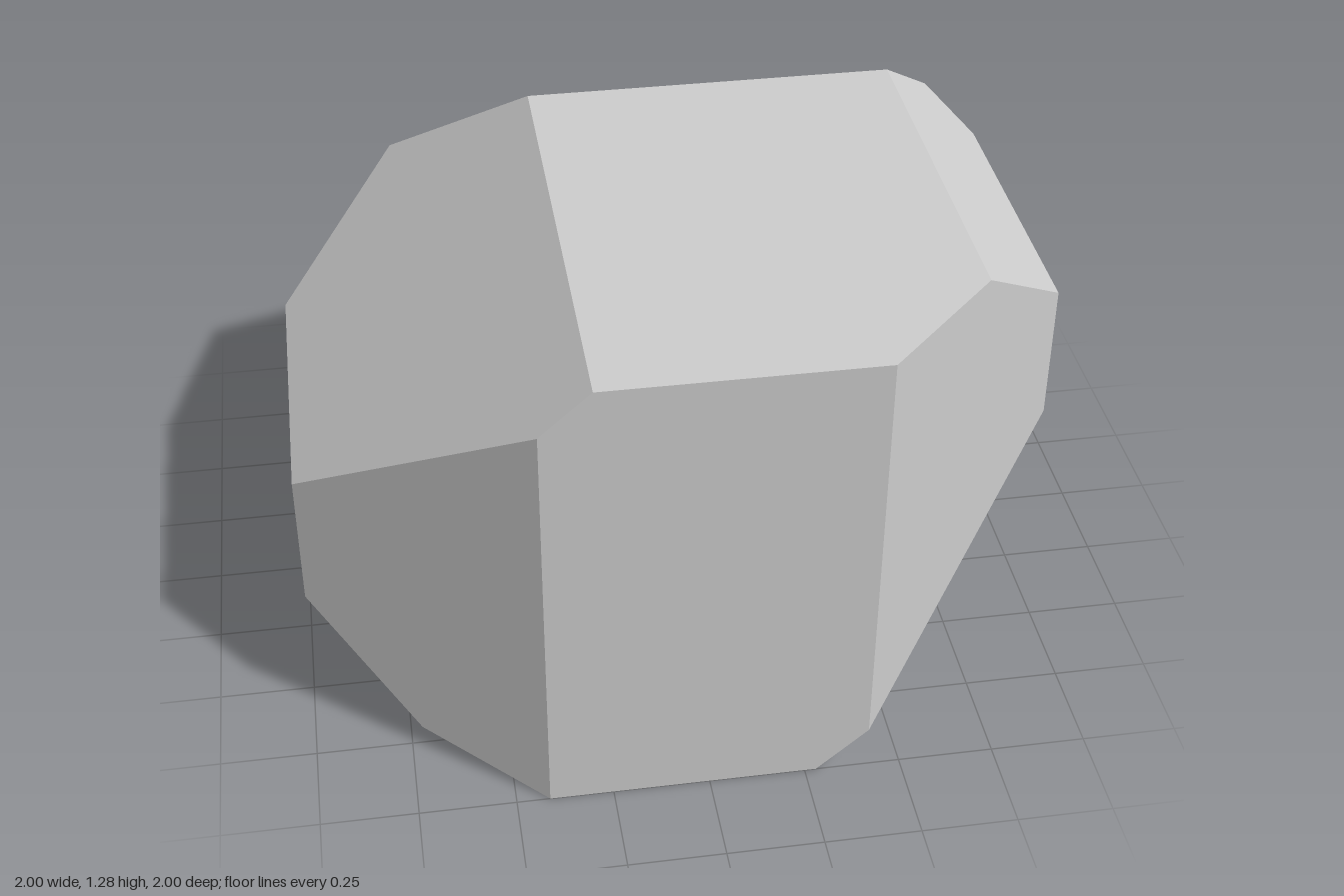
import * as THREE from 'three';

const H = 1.28;        // height
const SLOPE = 0.9;     // rise of every sloping facet
const DIAG = Math.SQRT2;

// Half-spaces [nx, ny, nz, d]: the solid is where n . p <= d
const facets = [
  // top and bottom
  [0, 1, 0, H], [0, -1, 0, 0],
  // octagonal walls
  [1, 0, 0, 1], [-1, 0, 0, 1], [0, 0, 1, 1], [0, 0, -1, 1],
  [1, 0, 1, DIAG], [1, 0, -1, DIAG], [-1, 0, 1, DIAG], [-1, 0, -1, DIAG],
  // upper slopes: right, left, back
  [-SLOPE, 1, 0, H + SLOPE * 0.285], [SLOPE, 1, 0, H + SLOPE * 0.72],
  [0, 1, -SLOPE, H + SLOPE * 0.375],
  // lower slopes: left, right, back
  [SLOPE, -1, 0, SLOPE * 0.28], [-SLOPE, -1, 0, SLOPE * 0.72],
  [0, -1, -SLOPE, SLOPE * 0.375],
].map(([x, y, z, d]) => {
  const n = new THREE.Vector3(x, y, z);
  const len = n.length();
  return { n: n.divideScalar(len), d: d / len };
});

// Point where three facet planes meet, or null if they do not
function meet(a, b, c) {
  const bc = b.n.clone().cross(c.n);
  const det = a.n.dot(bc);
  if (Math.abs(det) < 1e-6) return null;
  return bc.multiplyScalar(a.d)
    .addScaledVector(c.n.clone().cross(a.n), b.d)
    .addScaledVector(a.n.clone().cross(b.n), c.d)
    .divideScalar(det);
}

// Corners of the solid: plane meetings that lie inside every facet
function findCorners() {
  const corners = [];
  for (let i = 0; i < facets.length; i++)
    for (let j = i + 1; j < facets.length; j++)
      for (let k = j + 1; k < facets.length; k++) {
        const p = meet(facets[i], facets[j], facets[k]);
        if (!p || facets.some(f => f.n.dot(p) > f.d + 1e-5)) continue;
        if (!corners.some(q => q.distanceTo(p) < 1e-4)) corners.push(p);
      }
  return corners;
}

export function createModel() {
  const corners = findCorners();
  const positions = [];

  // Each facet is a fan over its corners, ordered around the normal
  for (const { n, d } of facets) {
    const ring = corners.filter(p => Math.abs(n.dot(p) - d) < 1e-4);
    if (ring.length < 3) continue;
    const centre = ring.reduce((s, p) => s.add(p), new THREE.Vector3()).divideScalar(ring.length);
    const u = ring[0].clone().sub(centre).normalize();
    const v = n.clone().cross(u);
    const angle = p => {
      const r = p.clone().sub(centre);
      return Math.atan2(r.dot(v), r.dot(u));
    };
    ring.sort((p, q) => angle(p) - angle(q));
    for (let i = 1; i < ring.length - 1; i++)
      for (const p of [ring[0], ring[i], ring[i + 1]]) positions.push(p.x, p.y, p.z);
  }

  const geometry = new THREE.BufferGeometry();
  geometry.setAttribute('position', new THREE.Float32BufferAttribute(positions, 3));
  geometry.computeVertexNormals();

  const stone = new THREE.Mesh(
    geometry,
    new THREE.MeshStandardMaterial({ color: 0xcccccc, flatShading: true })
  );
  stone.name = 'facetedBlock';

  const group = new THREE.Group();
  group.name = 'facetedStone';
  group.add(stone);
  return group;
}
